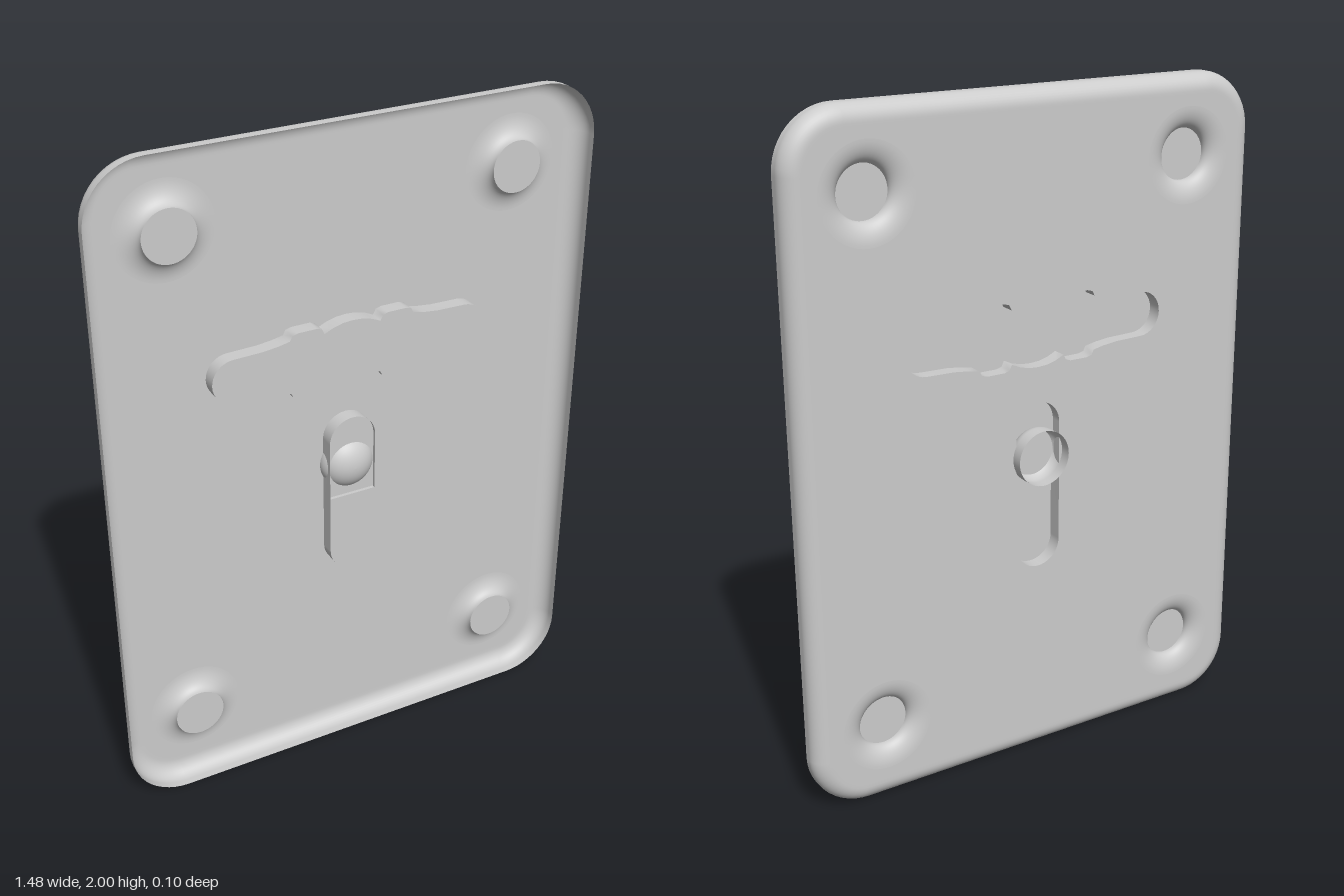
import * as THREE from 'three';

const BASE = -0.015, FRONT = 0.05;
const HW = 0.74, CORNER = 0.17, CY = 1;
const material = new THREE.MeshStandardMaterial({ color: 0xcccccc, side: THREE.DoubleSide });

const V = (x, y) => new THREE.Vector2(x, y);

function mesh(name, geometry) {
  const m = new THREE.Mesh(geometry, material);
  m.name = name;
  return m;
}

// Points of the plate outline, moved inward by d
function outline(d) {
  const r = CORNER - d, pts = [];
  [[1, 1], [-1, 1], [-1, -1], [1, -1]].forEach(([sx, sy], q) => {
    for (let i = 0; i <= 12; i++) {
      const a = (q + i / 12) * Math.PI / 2;
      pts.push(V(sx * (HW - CORNER) + r * Math.cos(a), CY + sy * (1 - CORNER) + r * Math.sin(a)));
    }
  });
  return pts;
}

// Skin a series of closed loops {pts, z}
function skin(loops) {
  const n = loops[0].pts.length, pos = [], idx = [];
  for (const { pts, z } of loops) for (const p of pts) pos.push(p.x, p.y, z);
  for (let j = 0; j < loops.length - 1; j++) {
    for (let i = 0; i < n; i++) {
      const a = j * n + i, b = j * n + (i + 1) % n;
      idx.push(a, a + n, b, b, a + n, b + n);
    }
  }
  const g = new THREE.BufferGeometry();
  g.setAttribute('position', new THREE.Float32BufferAttribute(pos, 3));
  g.setIndex(idx);
  g.computeVertexNormals();
  return g;
}

function circle(x, y, r, n = 48) {
  return Array.from({ length: n }, (_, i) => {
    const a = i / n * Math.PI * 2;
    return V(x + r * Math.cos(a), y + r * Math.sin(a));
  });
}

// Upright slot with round ends
function slotOutline(r, y0, y1) {
  const pts = [];
  for (let i = 0; i <= 20; i++) pts.push(V(r * Math.cos(i * Math.PI / 20), y1 - r + r * Math.sin(i * Math.PI / 20)));
  for (let i = 0; i <= 20; i++) pts.push(V(-r * Math.cos(i * Math.PI / 20), y0 + r - r * Math.sin(i * Math.PI / 20)));
  return pts;
}

// Wide notched slot: one quarter, mirrored twice
function notchedOutline(cy) {
  const q = [];
  for (let i = 0; i <= 8; i++) {
    const a = i / 8 * Math.PI / 2;
    q.push(V(0.355 + 0.065 * Math.cos(a), 0.066 * Math.sin(a)));
  }
  q.push(V(0.27, 0.068), V(0.225, 0.073), V(0.19, 0.08), V(0.183, 0.094), V(0.165, 0.099),
    V(0.11, 0.099), V(0.094, 0.094), V(0.086, 0.078), V(0.06, 0.09), V(0.03, 0.098), V(0, 0.1));
  const top = [...q, ...q.slice(0, -1).reverse().map(p => V(-p.x, p.y))];
  const bottom = top.slice(1, -1).reverse().map(p => V(p.x, -p.y));
  return [...top, ...bottom].map(p => V(p.x, p.y + cy));
}

function flat(pts, z, holes = []) {
  const s = new THREE.Shape(pts);
  s.holes = holes.map(h => new THREE.Path(h));
  return new THREE.ShapeGeometry(s).translate(0, 0, z);
}

// Turn a lathe so that its axis points to the front
function turned(points) {
  return new THREE.LatheGeometry(points, 48).rotateX(Math.PI / 2);
}

export function createModel() {
  const model = new THREE.Group();
  model.name = 'pressedBackPlate';

  const dimples = [];
  for (const x of [-0.51, 0.51]) for (const y of [0.235, 1.77]) dimples.push([x, y]);
  const notched = notchedOutline(1.325);
  const slot = slotOutline(0.0725, 0.61, 1.12);

  // Flat sheet with openings for the pressed parts
  model.add(mesh('plate', flat(outline(0.06), BASE,
    [...dimples.map(([x, y]) => circle(x, y, 0.14)), notched, slot])));

  // Rounded rim rising to the front
  const loops = [{ pts: outline(0.06), z: BASE }];
  for (let i = 0; i <= 10; i++) {
    const a = i / 10 * Math.PI / 2;
    loops.push({ pts: outline(0.05 * (1 - Math.sin(a))), z: BASE + 0.045 * (1 - Math.cos(a)) });
  }
  loops.push({ pts: outline(0), z: FRONT });
  model.add(mesh('rim', skin(loops)));

  // Four flared dimples with flat tops
  const flare = [];
  for (let i = 0; i <= 12; i++) {
    const a = i / 12 * Math.PI / 2;
    flare.push(V(0.14 - 0.065 * Math.cos(a), 0.022 - (0.022 - BASE) * Math.sin(a)));
  }
  for (const [x, y] of dimples) {
    const dimple = new THREE.Group();
    dimple.name = 'cornerDimple';
    dimple.add(mesh('dimpleFlare', turned(flare)));
    dimple.add(mesh('dimpleTop', new THREE.CircleGeometry(0.075, 48).translate(0, 0, 0.022)));
    dimple.position.set(x, y, 0);
    model.add(dimple);
  }

  // Notched recess
  const deep = 0.028, shallow = 0.018, stepY = 0.865;
  model.add(mesh('notchedRecessWall', skin([{ pts: notched, z: BASE }, { pts: notched, z: deep }])));
  model.add(mesh('notchedRecessFloor', flat(notched, deep)));

  // Upright recess with a step in its floor
  model.add(mesh('slotWall', skin([{ pts: slot, z: BASE }, { pts: slot, z: deep }])));
  const edge = [V(-0.0725, stepY), V(0.0725, stepY)];
  const upper = slot.filter(p => p.y > stepY), lower = slot.filter(p => p.y < stepY);
  model.add(mesh('slotUpperFloor', flat([...upper, ...edge], shallow)));
  model.add(mesh('slotLowerFloor', flat([...lower, edge[1], edge[0]], deep)));
  model.add(mesh('slotStep', new THREE.PlaneGeometry(0.145, deep - shallow)
    .rotateX(Math.PI / 2).translate(0, stepY, (deep + shallow) / 2)));

  // Domed cup, open at the back
  const cup = [V(0.083, -0.05), V(0.083, -0.03)];
  for (let i = 0; i <= 14; i++) {
    const a = i / 14 * Math.PI / 2;
    cup.push(V(0.083 * Math.cos(a), BASE + 0.063 * Math.sin(a)));
  }
  const knob = mesh('domedCup', turned(cup));
  knob.position.set(0, 0.96, 0);
  model.add(knob);

  return model;
}
